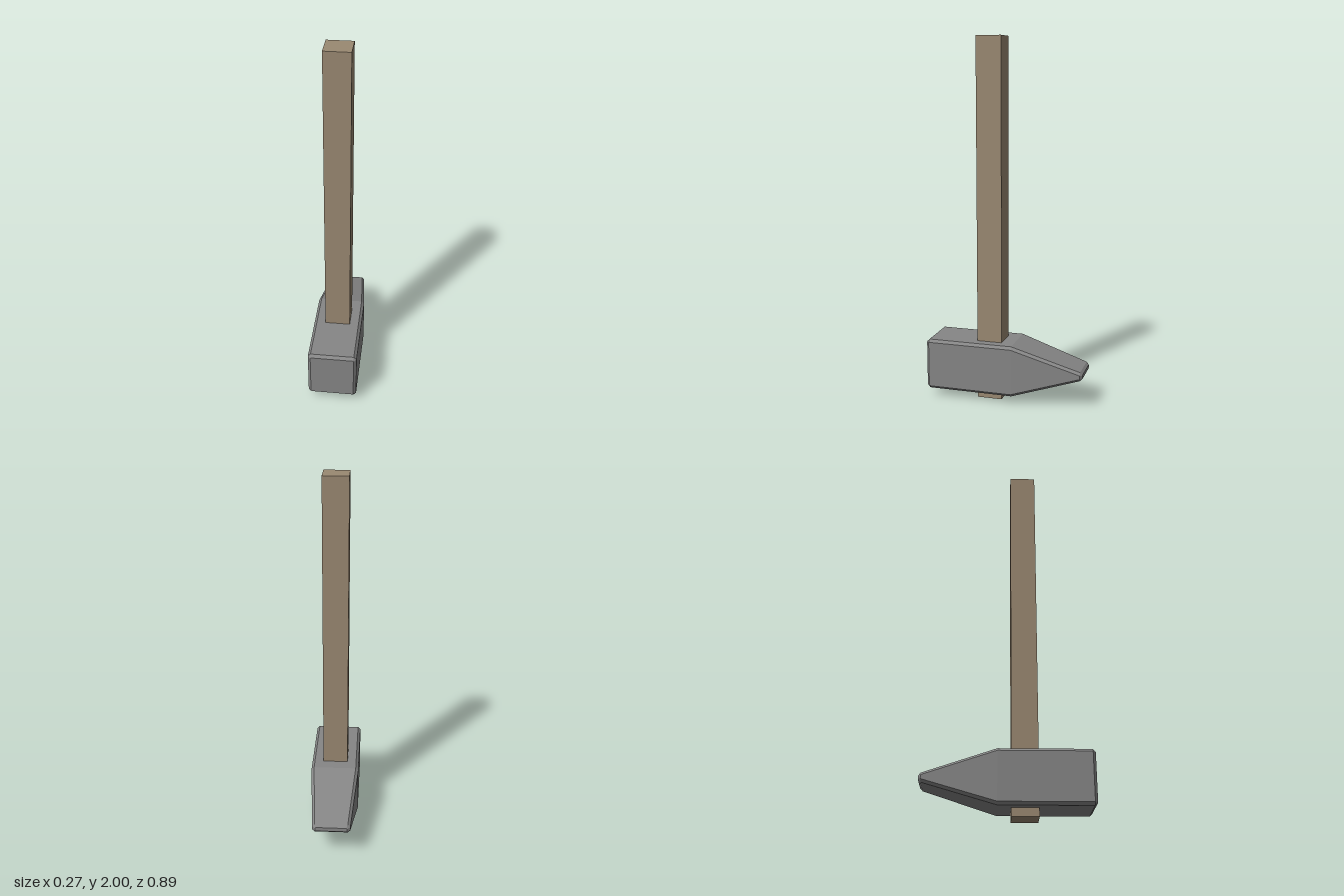
import * as THREE from 'three';

// Rectangle with cut corners, counter-clockwise seen from +z
function ring([z, w, h, c]) {
  return [
    [w, -h + c], [w, h - c], [w - c, h], [-w + c, h],
    [-w, h - c], [-w, -h + c], [-w + c, -h], [w - c, -h],
  ].map(([x, y]) => [x, y, z]);
}

// Joins cross-sections running from front to back and caps both ends
function loft(sections) {
  const rings = sections.map(ring);
  const n = rings[0].length;
  const last = rings.length - 1;
  const index = [];
  for (let i = 0; i < last; i++) {
    for (let j = 0; j < n; j++) {
      const a = i * n + j, b = i * n + (j + 1) % n;
      index.push(a, a + n, b, b, a + n, b + n);
    }
  }
  for (let j = 1; j < n - 1; j++) {
    index.push(0, j, j + 1);
    index.push(last * n, last * n + j + 1, last * n + j);
  }
  const geometry = new THREE.BufferGeometry();
  geometry.setAttribute('position', new THREE.Float32BufferAttribute(rings.flat(2), 3));
  geometry.setIndex(index);
  const flat = geometry.toNonIndexed();
  flat.computeVertexNormals();
  return flat;
}

export function createModel() {
  const model = new THREE.Group();
  model.name = 'hammer';

  const steel = new THREE.MeshStandardMaterial({ color: 0x868686 });
  steel.name = 'steel grey';
  const wood = new THREE.MeshStandardMaterial({ color: 0x9a8972 });
  wood.name = 'wood brown';

  // Head: square striking face at the front, wedge peen at the back
  const head = new THREE.Mesh(loft([
    // z, half width, half height, corner cut
    [0.443, 0.12, 0.128, 0.004],
    [0.428, 0.135, 0.143, 0.015],
    [-0.05, 0.135, 0.143, 0.015],
    [-0.43, 0.104, 0.024, 0.014],
    [-0.443, 0.087, 0.011, 0.004],
  ]), steel);
  head.name = 'head';
  head.position.y = 0.188;
  model.add(head);

  // Square handle passing right through the head
  const handle = new THREE.Mesh(new THREE.BoxGeometry(0.14, 2, 0.14), wood);
  handle.name = 'handle';
  handle.position.set(0, 1, 0.09);
  model.add(handle);

  return model;
}
